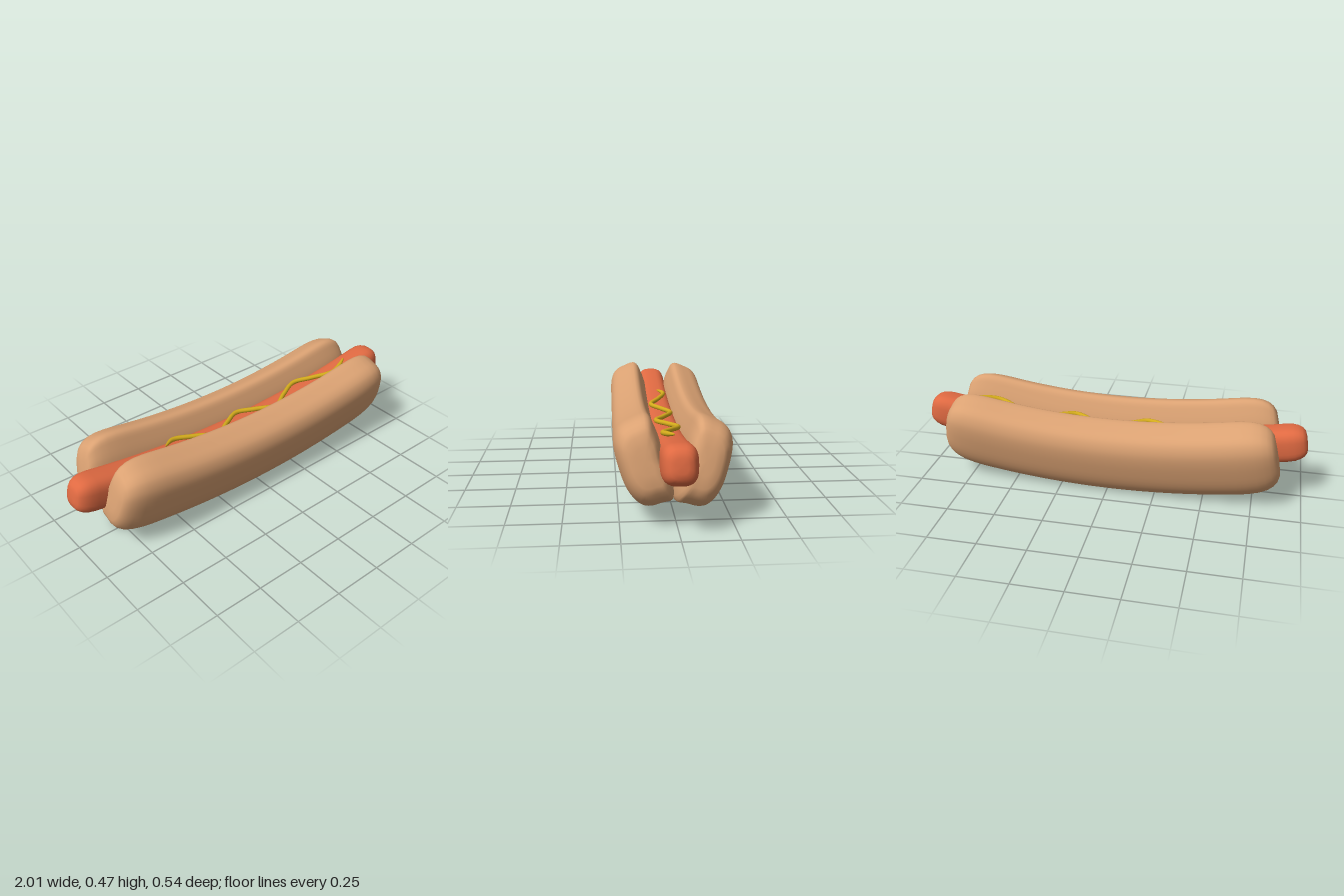
import * as THREE from 'three';

// Lofts a closed section of [z, y] points along x, following a bowed centre line.
// stations: [x, scale]; sections shrink about their pivot and lean square to the bow.
function loft(section, pivot, stations, bow, yaw) {
  const pos = [], idx = [], n = section.length;
  for (const [x, s] of stations) {
    for (const [z, y] of section) {
      const dz = (z - pivot[0]) * s, dy = (y - pivot[1]) * s;
      pos.push(x - 2 * bow * x * dy, pivot[1] + dy + bow * x * x, pivot[0] + dz + yaw * x);
    }
  }
  for (let i = 0; i < stations.length - 1; i++) {
    for (let j = 0; j < n; j++) {
      const a = i * n + j, b = i * n + (j + 1) % n, c = a + n, d = b + n;
      idx.push(a, c, b, b, c, d);
    }
  }
  // end caps meet at a centre point
  [0, stations.length - 1].forEach((i, end) => {
    const x = stations[i][0], m = pos.length / 3;
    pos.push(x, pivot[1] + bow * x * x, pivot[0] + yaw * x);
    for (let j = 0; j < n; j++) {
      const a = i * n + j, b = i * n + (j + 1) % n;
      if (end) idx.push(m, b, a); else idx.push(m, a, b);
    }
  });
  const g = new THREE.BufferGeometry();
  g.setAttribute('position', new THREE.Float32BufferAttribute(pos, 3));
  g.setIndex(idx);
  g.computeVertexNormals();
  return g;
}

// Symmetric stations: rounded end steps plus an even run through the middle
function makeStations(ends, middle, steps) {
  const list = ends.map(([x, s]) => [-x, s]);
  for (let i = 0; i <= steps; i++) list.push([-middle + 2 * middle * i / steps, 1]);
  return list.concat(ends.slice().reverse());
}

function addMesh(group, name, geometry, color) {
  const mesh = new THREE.Mesh(geometry, new THREE.MeshStandardMaterial({ color }));
  mesh.name = name;
  group.add(mesh);
}

export function createModel() {
  const group = new THREE.Group();
  group.name = 'hotDog';

  // Bun half section, from the inner bottom edge round the outside to the inner face
  const profile = [
    [0.004, 0.035], [0.05, 0.022], [0.10, 0.009], [0.14, 0.014], [0.18, 0.045], [0.215, 0.1],
    [0.243, 0.18], [0.26, 0.25], [0.263, 0.3], [0.25, 0.345], [0.225, 0.372], [0.19, 0.39],
    [0.13, 0.412], [0.105, 0.402], [0.085, 0.365], [0.06, 0.3], [0.04, 0.2], [0.004, 0.12],
  ];
  const outline = new THREE.CatmullRomCurve3(
    profile.map(([z, y]) => new THREE.Vector3(z, y, 0)), true, 'centripetal');
  const section = outline.getPoints(54).slice(0, -1).map((p) => [p.x, p.y]);
  const bunStations = makeStations(
    [[0.857, 0.3], [0.853, 0.56], [0.84, 0.7], [0.82, 0.81], [0.79, 0.9], [0.75, 0.96], [0.7, 0.99]], 0.65, 24);
  const pivot = [0.13, 0.22];
  addMesh(group, 'frontBun', loft(section, pivot, bunStations, 0.125, 0.011), 0xdba273);
  const mirrored = section.map(([z, y]) => [-z, y - 0.007]).reverse();
  addMesh(group, 'backBun', loft(mirrored, [-pivot[0], pivot[1] - 0.007], bunStations, 0.125, 0.011), 0xdba273);

  // Sausage with a rounded square section
  const round = (v) => Math.sign(v) * Math.abs(v) ** 0.68;
  const sausageSection = [];
  for (let i = 0; i < 32; i++) {
    const a = i / 32 * Math.PI * 2;
    sausageSection.push([0.08 * round(Math.cos(a)), 0.225 + 0.09 * round(Math.sin(a))]);
  }
  const sausageStations = makeStations(
    [[0.998, 0.35], [0.993, 0.6], [0.98, 0.77], [0.96, 0.89], [0.935, 0.97]], 0.9, 24);
  addMesh(group, 'sausage', loft(sausageSection, [0, 0.225], sausageStations, 0.1, 0), 0xe06a42);

  // Wavy mustard line, tapered at both ends
  const wave = [[-0.47, -0.005], [-0.4, -0.037], [-0.29, 0], [-0.18, 0.047], [-0.085, 0], [0.01, -0.042],
    [0.11, 0], [0.21, 0.047], [0.31, 0], [0.42, -0.042], [0.52, 0], [0.63, 0.047], [0.7, 0.033], [0.76, 0.005]];
  const path = new THREE.CatmullRomCurve3(
    wave.map(([x, z]) => new THREE.Vector3(x, 0.325 + 0.125 * x * x, z)));
  const rings = 120, sides = 10;
  const mustard = new THREE.TubeGeometry(path, rings, 0.012, sides);
  const p = mustard.attributes.position, v = new THREE.Vector3();
  for (let i = 0; i < p.count; i++) {
    const t = Math.floor(i / (sides + 1)) / rings;
    const taper = Math.min(1, Math.sqrt(Math.min(t, 1 - t) / 0.05));
    v.fromBufferAttribute(p, i);
    v.lerp(path.getPointAt(t), 1 - taper);
    p.setXYZ(i, v.x, v.y, v.z);
  }
  addMesh(group, 'mustard', mustard, 0xd4ac1c);

  return group;
}
